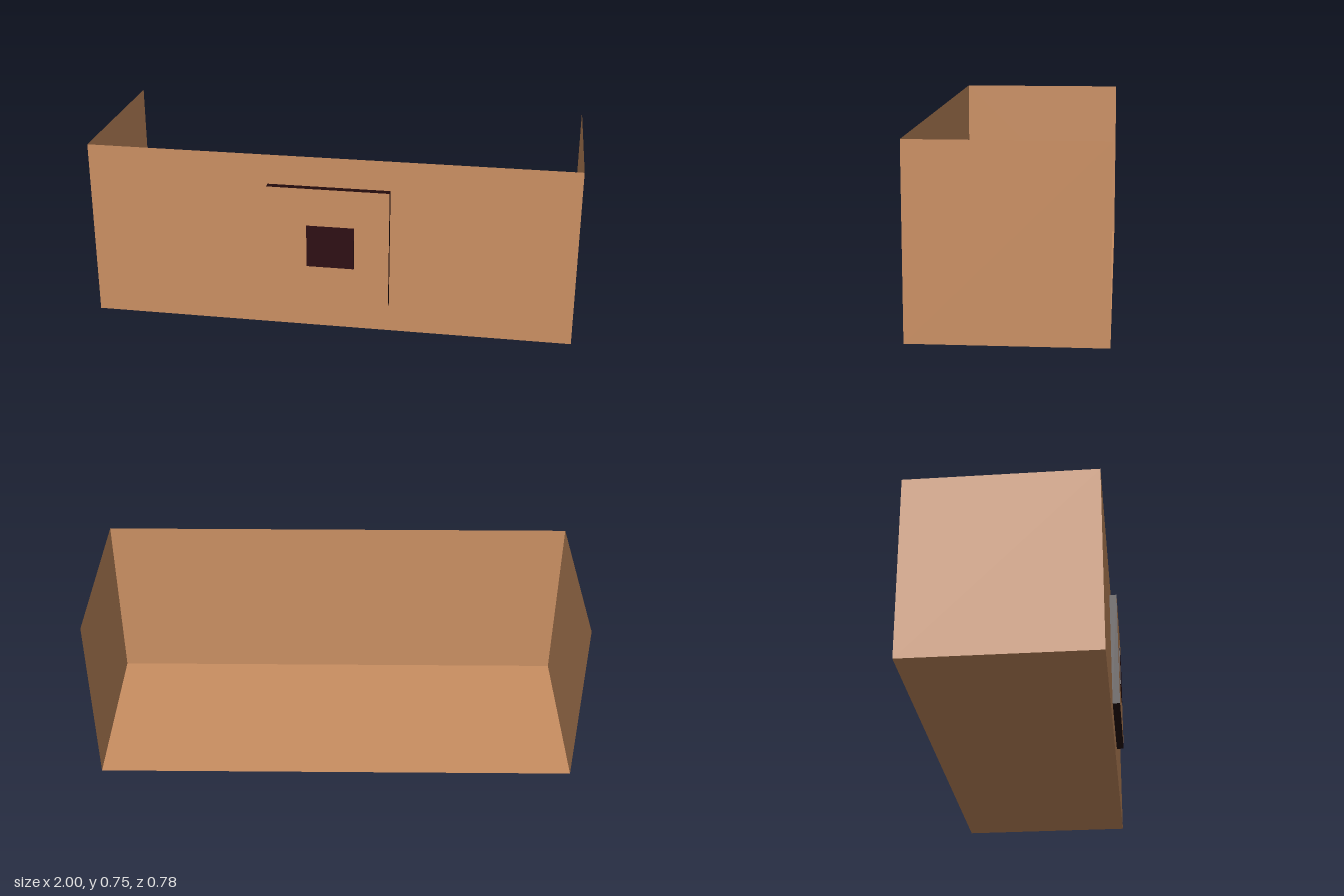
import * as THREE from 'three';

export function createModel() {
  const group = new THREE.Group();
  const wood = new THREE.MeshStandardMaterial({ color: 0xca8f62, side: THREE.DoubleSide });
  wood.name = 'wood';
  const darkEdge = new THREE.MeshStandardMaterial({ color: 0x230b0c });
  darkEdge.name = 'dark edge';
  const darkInlay = new THREE.MeshStandardMaterial({ color: 0x2d0d12 });
  darkInlay.name = 'dark inlay';

  const W = 2, H = 0.75, front = 0.36, back = -0.39;
  const D = front - back, midZ = (front + back) / 2;

  const add = (name, geometry, material, x, y, z) => {
    const mesh = new THREE.Mesh(geometry, material);
    mesh.name = name;
    mesh.position.set(x, y, z);
    group.add(mesh);
    return mesh;
  };

  // Paper-thin drawer: floor, front and two sides, open at the top and back
  add('floor', new THREE.PlaneGeometry(W, D).rotateX(-Math.PI / 2), wood, 0, 0, midZ);
  add('frontPanel', new THREE.PlaneGeometry(W, H), wood, 0, H / 2, front);
  for (const s of [-1, 1]) {
    add(s > 0 ? 'leftSide' : 'rightSide',
      new THREE.PlaneGeometry(D, H).rotateY(s * Math.PI / 2), wood, s * W / 2, H / 2, midZ);
  }

  // Square handle with dark edges and a wood face
  add('handle', new THREE.BoxGeometry(0.5, 0.5, 0.03),
    [darkEdge, darkEdge, darkEdge, darkEdge, wood, wood], 0, 0.375, front + 0.015);

  // Dark square in the middle of the handle
  add('handleInlay', new THREE.BoxGeometry(0.195, 0.18, 0.003), darkInlay, 0.01, 0.375, front + 0.0315);

  return group;
}
